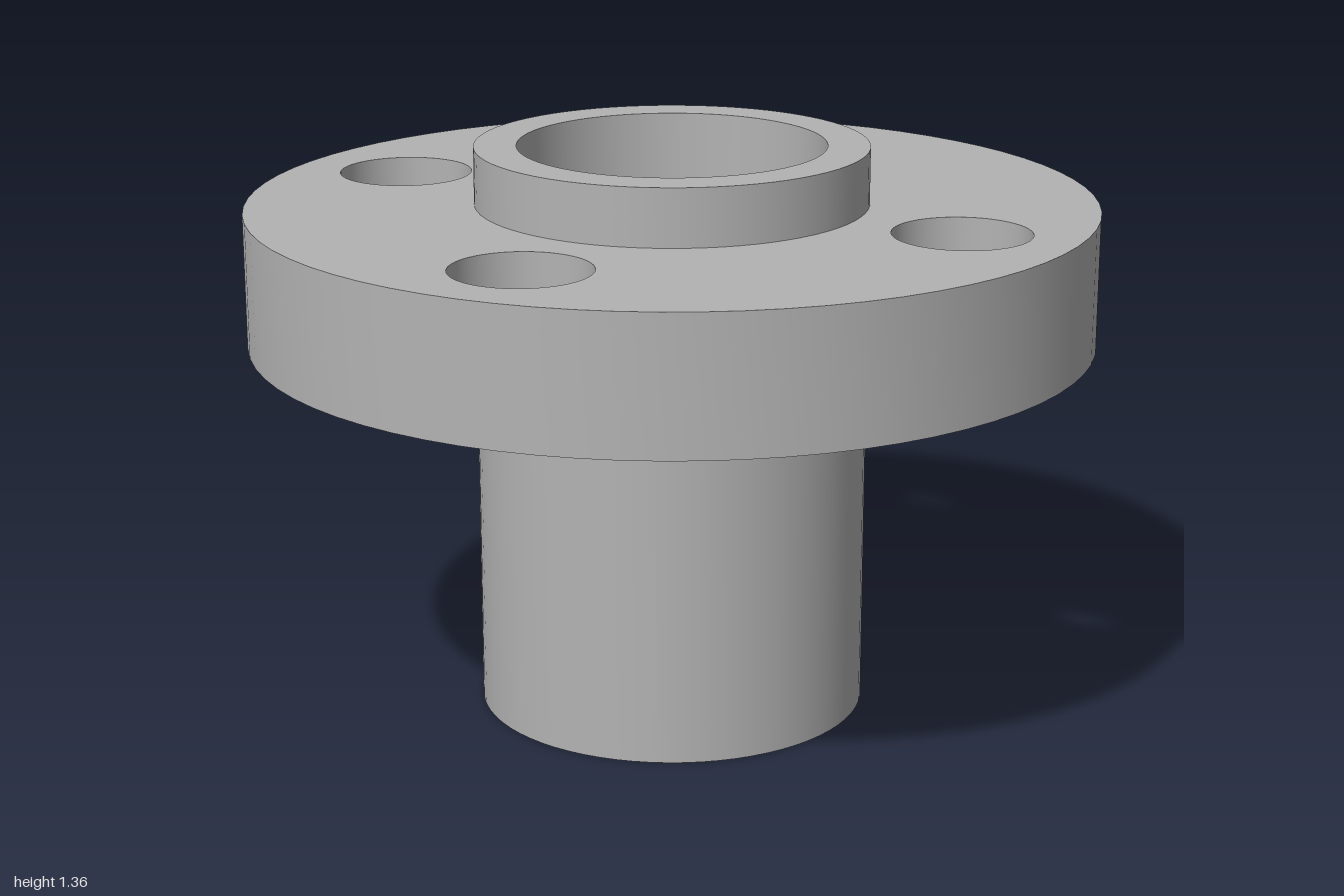
import * as THREE from 'three';
import { toCreasedNormals } from 'three/addons/utils/BufferGeometryUtils.js';

const FLANGE_R = 1, TUBE_R = 0.4636, BORE_R = 0.3636;
const BOLT_R = 0.16, BOLT_CIRCLE = 0.7273;
const HEIGHT = 1.3636, FLANGE_Y = 0.9091, FLANGE_H = 0.3182;

// Round plate with round holes, standing upright from y to y + height
function roundPlate(radius, holes, y, height) {
  const shape = new THREE.Shape().absarc(0, 0, radius, 0, Math.PI * 2, false);
  for (const [x, z, r] of holes) {
    shape.holes.push(new THREE.Path().absarc(x, z, r, 0, Math.PI * 2, true));
  }
  const geometry = new THREE.ExtrudeGeometry(shape, {
    depth: height, bevelEnabled: false, curveSegments: 36,
  });
  geometry.rotateX(-Math.PI / 2).translate(0, y, 0);
  return toCreasedNormals(geometry, Math.PI / 6);
}

export function createModel() {
  const group = new THREE.Group();
  group.name = 'flangedNut';
  const metal = new THREE.MeshStandardMaterial({ color: 0xb3b3b3 });
  metal.name = 'grey metal';

  // Hollow sleeve, open from bottom to top
  const sleeve = new THREE.Mesh(
    roundPlate(TUBE_R, [[0, 0, BORE_R]], 0, HEIGHT), metal);
  sleeve.name = 'sleeve';

  // Flange with four bolt holes; its inner edge is buried in the sleeve wall
  const holes = [[0, 0, (TUBE_R + BORE_R) / 2]];
  for (let i = 0; i < 4; i++) {
    const a = i * Math.PI / 2;
    holes.push([BOLT_CIRCLE * Math.cos(a), BOLT_CIRCLE * Math.sin(a), BOLT_R]);
  }
  const flange = new THREE.Mesh(
    roundPlate(FLANGE_R, holes, FLANGE_Y, FLANGE_H), metal);
  flange.name = 'flange';

  group.add(sleeve, flange);
  return group;
}
